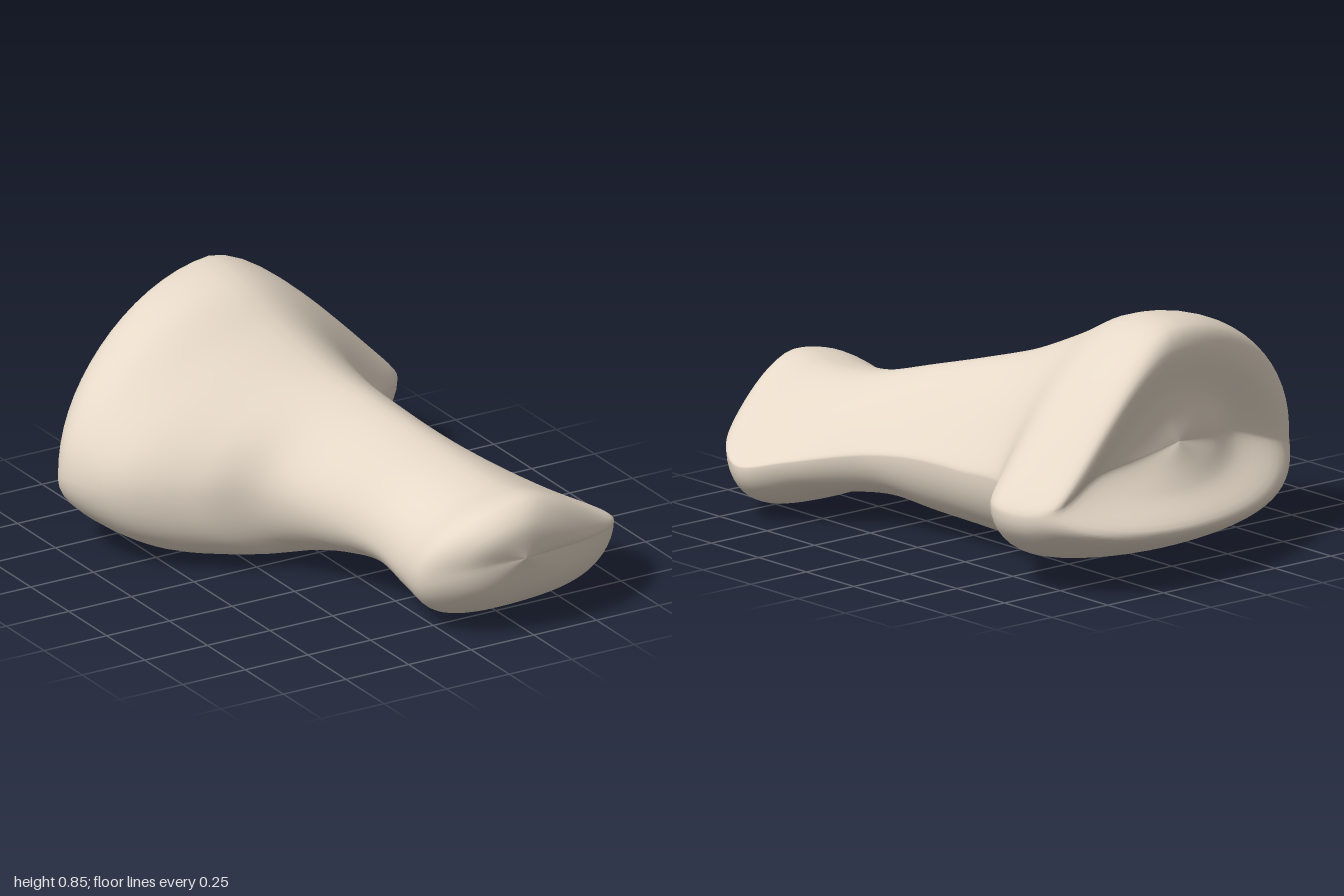
import * as THREE from 'three';

// Cross-sections from the small front head to the broad hollow back end:
// [xL, zL, xR, zR, zTop, zBottom, yBottom, yTop, xTop, ySide]
const SECTIONS = [
  [0.22, 1.0, 0.22, 1.0, 1.0, 1.0, 0.29, 0.29, 0.22, 0.29],
  [0.02, 0.94, 0.54, 0.9, 0.99, 0.92, 0.12, 0.41, 0.24, 0.26],
  [-0.09, 0.82, 0.72, 0.75, 0.92, 0.72, 0.01, 0.475, 0.27, 0.22],
  [-0.08, 0.66, 0.77, 0.62, 0.72, 0.62, 0.03, 0.455, 0.27, 0.2],
  [-0.09, 0.5, 0.68, 0.48, 0.53, 0.45, 0.09, 0.47, 0.25, 0.23],
  [-0.17, 0.3, 0.52, 0.27, 0.3, 0.29, 0.09, 0.53, 0.19, 0.27],
  [-0.28, 0.1, 0.47, 0.07, 0.1, 0.1, 0.05, 0.585, 0.13, 0.29],
  [-0.48, -0.02, 0.45, -0.17, -0.1, -0.05, 0.02, 0.645, 0.07, 0.29],
  [-0.69, -0.2, 0.47, -0.38, -0.29, -0.28, 0.0, 0.73, 0.02, 0.3],
  [-0.77, -0.42, 0.67, -0.59, -0.5, -0.58, 0.04, 0.835, -0.02, 0.29],
  [-0.73, -0.51, 0.66, -0.74, -0.73, -0.84, 0.11, 0.835, 0.0, 0.28],
  [-0.62, -0.59, 0.6, -0.85, -0.785, -0.98, 0.2, 0.765, 0.03, 0.31],
  [-0.38, -0.64, 0.4, -0.82, -0.77, -0.88, 0.3, 0.62, 0.03, 0.39],
  [-0.2, -0.73, 0.21, -0.81, -0.775, -0.83, 0.37, 0.53, 0.02, 0.42],
  [0.0, -0.79, 0.0, -0.79, -0.79, -0.79, 0.45, 0.45, 0.0, 0.45],
];

// Point on a section: full dome on the left, sloping shoulder on the right, flat belly
function sectionPoint([xL, zL, xR, zR, zT, zB, yB, yT, xT, yS], angle) {
  const c = Math.cos(angle), s = Math.sin(angle), up = s > 0, a = Math.abs(s);
  const midX = (xL + xR) / 2, midZ = (zL + zR) / 2;
  const dome = a * (c > 0 ? 1 - 0.75 * Math.pow(c, 1.5) : 1 - 0.1 * c * c);
  const belly = a * (1 + 0.3 * c * c);
  const x = midX + (xR - xL) / 2 * c + (up ? (xT - midX) * a * a : 0);
  const y = up ? yS + (yT - yS) * dome : yS - (yS - yB) * belly;
  const z = midZ + (zR - zL) / 2 * c + ((up ? zT : zB) - midZ) * Math.pow(a, 1.5);
  return new THREE.Vector3(x, y, z);
}

// Smooth closed skin: one lengthwise spline for each angle around the bone
function loft(sections, around, along) {
  const positions = [], index = [];
  for (let j = 0; j < around; j++) {
    const angle = j / around * Math.PI * 2;
    const curve = new THREE.CatmullRomCurve3(sections.map((s) => sectionPoint(s, angle)));
    for (const p of curve.getPoints(along)) positions.push(p.x, Math.max(0, p.y), p.z);
  }
  const row = along + 1;
  for (let j = 0; j < around; j++) {
    const k = (j + 1) % around;
    for (let i = 0; i < along; i++) {
      const a = j * row + i, b = k * row + i;
      index.push(a, a + 1, b, b, a + 1, b + 1);
    }
  }
  const geometry = new THREE.BufferGeometry();
  geometry.setAttribute('position', new THREE.Float32BufferAttribute(positions, 3));
  geometry.setIndex(index);
  geometry.computeVertexNormals();
  return geometry;
}

export function createModel() {
  const group = new THREE.Group();
  group.name = 'toeBone';
  const bone = new THREE.Mesh(
    loft(SECTIONS, 64, 84),
    new THREE.MeshStandardMaterial({ color: 0xe6d9c8 })
  );
  bone.name = 'bone';
  group.add(bone);
  return group;
}
